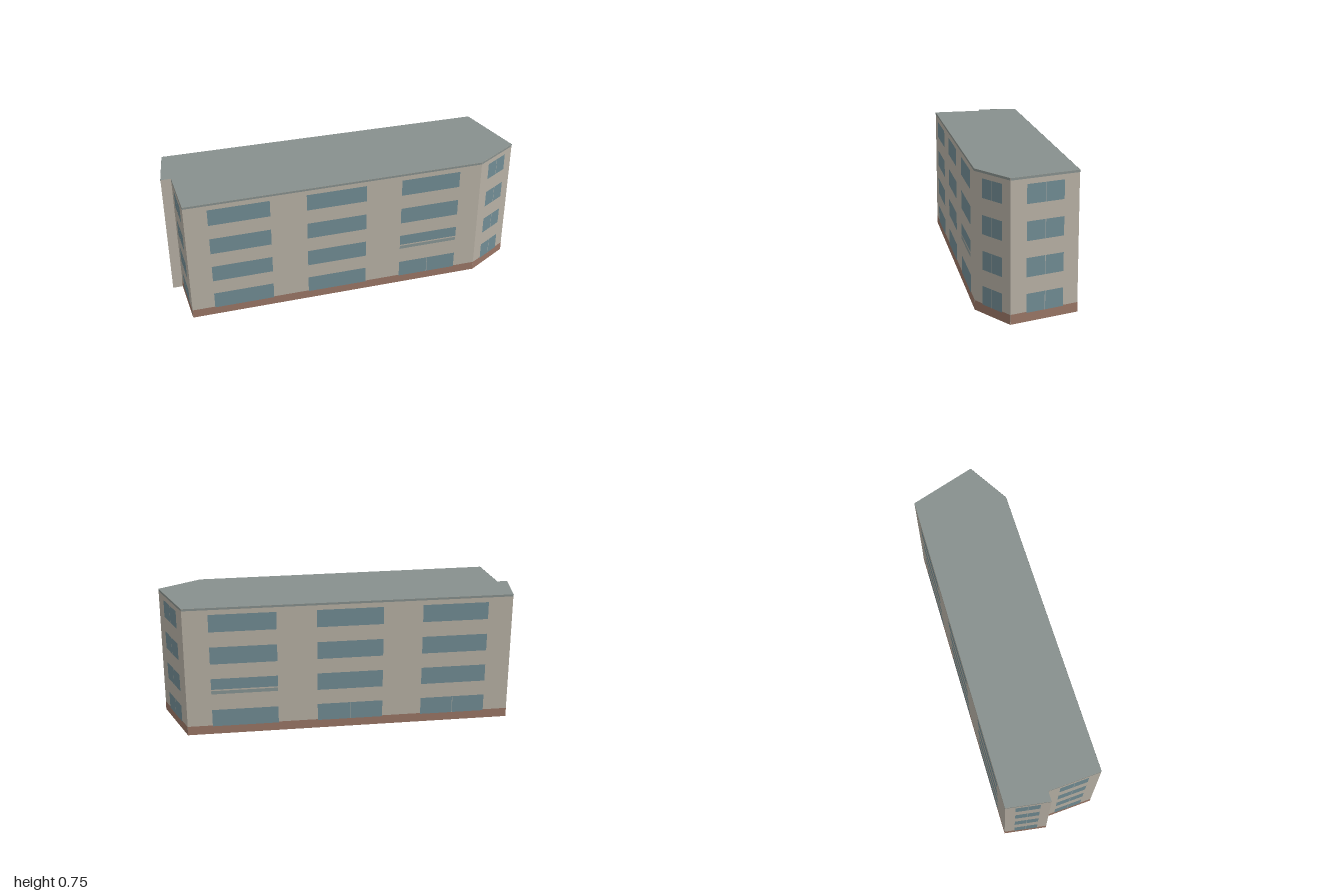
import * as THREE from 'three';

const H = 0.748;          // wall height
const PLINTH = 0.052;     // plinth height
const FLOORS = [0.047, 0.234, 0.421, 0.609]; // window sill heights
const WIN_H = 0.1;

// Footprint corners [x, z], running left to right as seen from outside
const corners = [
  [-0.9, 0.337], [0.775, 0.183], [1, 0.021], [0.845, -0.339],
  [-0.985, -0.195], [-1, 0.048], [-0.943, 0.043],
];

const mat = (color, side = THREE.FrontSide) => new THREE.MeshStandardMaterial({ color, side });

export function createModel() {
  const model = new THREE.Group();
  model.name = 'apartmentBlock';
  const wallMat = mat(0xb8b1a5, THREE.DoubleSide);
  const roofMat = mat(0x87908d, THREE.DoubleSide);
  const plinthMat = mat(0x9a7666);
  const glassMat = mat(0x718c94);
  const panelMat = mat(0x889695);
  const frameMat = mat(0xa2a8a4);

  // Flat panel on a wall, from fraction t0 to t1 along it and y0 to y1 up it
  function panel(name, i, t0, t1, y0, y1, out, material) {
    const [ax, az] = corners[i];
    const [bx, bz] = corners[(i + 1) % corners.length];
    const dx = bx - ax, dz = bz - az, len = Math.hypot(dx, dz), t = (t0 + t1) / 2;
    const mesh = new THREE.Mesh(new THREE.PlaneGeometry(len * (t1 - t0), y1 - y0), material);
    mesh.name = name;
    mesh.position.set(ax + dx * t - dz / len * out, (y0 + y1) / 2, az + dz * t + dx / len * out);
    mesh.rotation.y = Math.atan2(-dz, dx);
    model.add(mesh);
    return len;
  }

  function windowUnit(i, t0, t1, y, split) {
    const len = panel('window', i, t0, t1, y, y + WIN_H, 0.002, glassMat);
    if (split) {
      const c = (t0 + t1) / 2, w = 0.0017 / len;
      panel('mullion', i, c - w, c + w, y, y + WIN_H, 0.003, frameMat);
    }
  }

  // Short window with a spandrel panel below it
  function panelledWindow(i, t0, t1, y) {
    panel('window', i, t0, t1, y + 0.036, y + WIN_H, 0.002, glassMat);
    panel('spandrel', i, t0, t1, y + 0.008, y + 0.028, 0.002, panelMat);
  }

  // Walls, roof edge and plinth; the small return in the notch has no plinth
  corners.forEach((_, i) => {
    panel('wall', i, 0, 1, 0, H, 0, wallMat);
    if (i === 5) return;
    panel('plinth', i, 0, 1, 0, PLINTH, 0.001, plinthMat);
    panel('roofEdge', i, 0, 1, H - 0.012, H, 0.001, roofMat);
  });

  // Long sides: three wide bays per floor
  for (const side of [0, 3]) {
    FLOORS.forEach((y, floor) => {
      [0.177, 0.5, 0.823].forEach((c, bay) => {
        const t0 = c - 0.101, t1 = c + 0.101;
        const special = side === 0 ? 2 : 0;
        if (floor === 1 && bay === special) panelledWindow(side, t0, t1, y);
        else windowUnit(side, t0, t1, y, floor === 0 && (side === 0 ? bay === 2 : bay > 0));
      });
    });
  }

  // End walls: one two-pane window per floor
  for (const side of [1, 2, 4, 6]) {
    for (const y of FLOORS) windowUnit(side, 0.23, 0.775, y, true);
  }

  // Flat roof
  const outline = new THREE.Shape(corners.map(([x, z]) => new THREE.Vector2(x, -z)));
  const roof = new THREE.Mesh(new THREE.ShapeGeometry(outline).rotateX(-Math.PI / 2), roofMat);
  roof.name = 'roof';
  roof.position.y = H;
  model.add(roof);

  return model;
}
